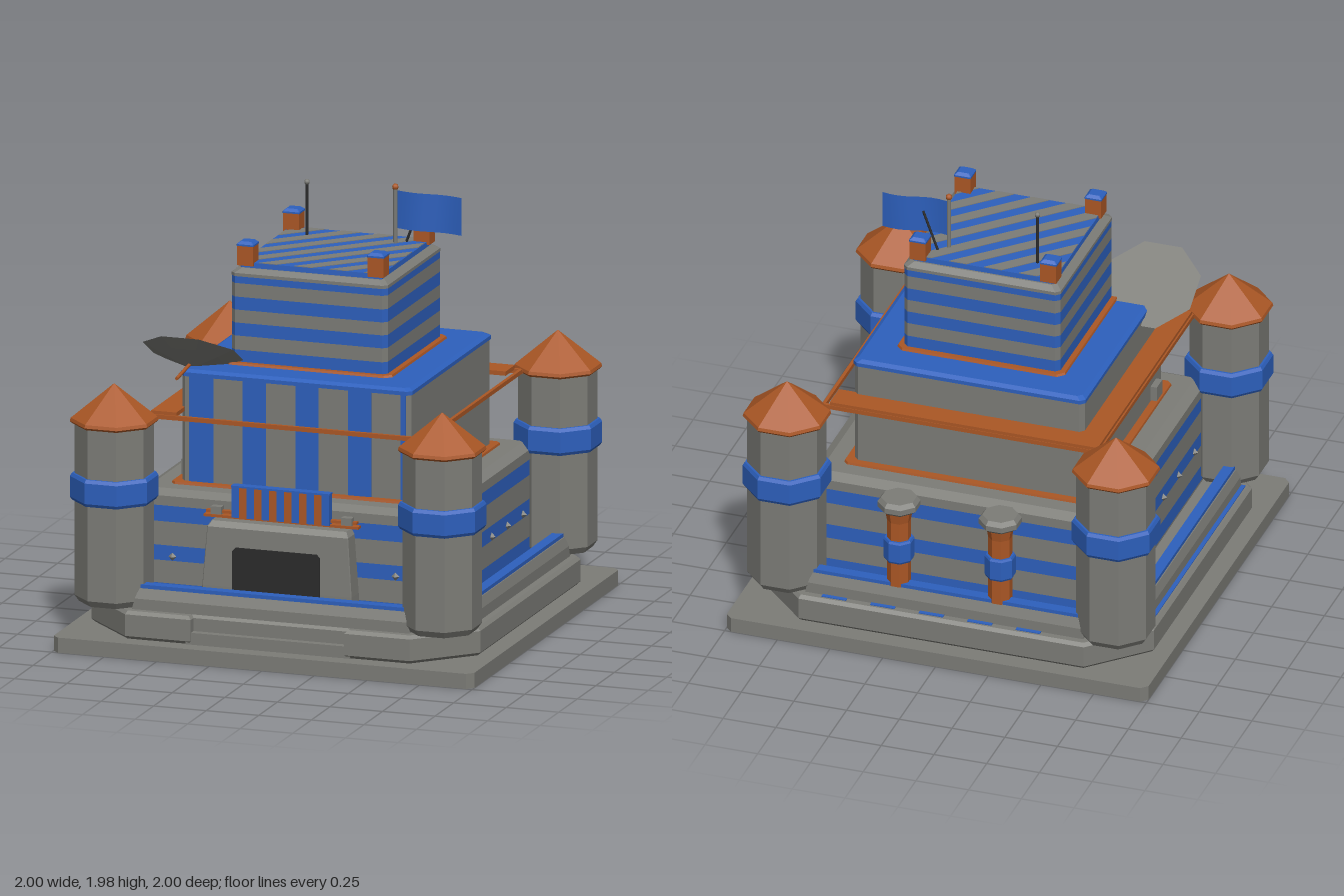
import * as THREE from 'three';

const paint = (name, color) => {
  const m = new THREE.MeshStandardMaterial({ color });
  m.name = name;
  return m;
};

export function createModel() {
  const root = new THREE.Group();
  root.name = 'fortress';
  const stone = paint('stone grey', 0x7c7c77);
  const blue = paint('blue', 0x2d60bd);
  const copper = paint('copper brown', 0xab5725);
  const dark = paint('dark', 0x2a2a2a);
  const flag = paint('flag blue', 0x2d60bd);
  flag.side = THREE.DoubleSide;

  const add = (name, geo, mat, x = 0, y = 0, z = 0, parent = root) => {
    const m = new THREE.Mesh(geo, mat);
    m.name = name;
    m.position.set(x, y, z);
    parent.add(m);
    return m;
  };
  // Box given by its limits
  const box = (name, mat, x0, x1, y0, y1, z0, z1, parent) =>
    add(name, new THREE.BoxGeometry(x1 - x0, y1 - y0, z1 - z0), mat,
      (x0 + x1) / 2, (y0 + y1) / 2, (z0 + z1) / 2, parent);

  // Loft through chamfered rectangles: [y, halfWidth, halfDepth, chamfer]
  const loft = (rings) => {
    const pos = [];
    const loops = rings.map(([y, w, d, c]) => [
      [w, y, c - d], [w, y, d - c], [w - c, y, d], [c - w, y, d],
      [-w, y, d - c], [-w, y, c - d], [c - w, y, -d], [w - c, y, -d]]);
    const tri = (...p) => p.forEach((q) => pos.push(...q));
    for (let i = 0; i < 8; i++) {
      const j = (i + 1) % 8;
      for (let r = 0; r + 1 < loops.length; r++) {
        const [a, b, c, d] = [loops[r][i], loops[r][j], loops[r + 1][j], loops[r + 1][i]];
        tri(a, d, c);
        tri(a, c, b);
      }
      const lo = loops[0], hi = loops[loops.length - 1];
      tri([0, lo[0][1], 0], lo[i], lo[j]);
      tri([0, hi[0][1], 0], hi[j], hi[i]);
    }
    const g = new THREE.BufferGeometry();
    g.setAttribute('position', new THREE.Float32BufferAttribute(pos, 3));
    g.computeVertexNormals();
    return g;
  };
  // Octagonal loft: [y, apothem]
  const octagon = (rings) => loft(rings.map(([y, r]) => [y, r, r, r * 0.586]));
  const square = (y, h, c = 0.02) => [y, h, h, c];
  // Flat outline in x,z turned into a horizontal slab
  const slab = (pts, opts) => new THREE.ExtrudeGeometry(
    new THREE.Shape(pts.map(([x, z]) => new THREE.Vector2(x, -z))), opts).rotateX(-Math.PI / 2);
  const rod = (name, mat, a, b, r) => {
    const p = new THREE.Vector3(...a), q = new THREE.Vector3(...b);
    const m = add(name, new THREE.CylinderGeometry(r, r, p.distanceTo(q), 8), mat);
    m.position.copy(p).lerp(q, 0.5);
    m.quaternion.setFromUnitVectors(new THREE.Vector3(0, 1, 0), q.sub(p).normalize());
  };

  // Ground slab and footing with a notch for the front step
  add('groundSlab', loft([square(0, 1, 0.03), square(0.07, 1, 0.03)]), stone);
  add('footing', slab([
    [-0.38, 0.91], [-0.38, 0.87], [0.38, 0.87], [0.38, 0.91], [0.67, 0.91], [0.91, 0.67],
    [0.91, -0.67], [0.67, -0.91], [-0.67, -0.91], [-0.91, -0.67], [-0.91, 0.67], [-0.67, 0.91],
  ], { depth: 0.1, bevelSize: 0.015, bevelThickness: 0.015, bevelSegments: 1 }), stone, 0, 0.085, 0);
  box('frontStep', stone, -0.39, 0.39, 0.07, 0.125, 0.85, 0.92);

  // Striped walkway around the hall
  for (let k = -2; k <= 2; k++) {
    const x = k * 0.23;
    box('walkwayStripe', blue, x, x + 0.115, 0.198, 0.204, -0.9, -0.68);
    box('walkwayStripe', blue, x, x + 0.115, 0.198, 0.204, 0.68, 0.87);
  }
  box('walkwayStripe', blue, -0.9, -0.805, 0.198, 0.204, -0.66, 0.66);
  box('walkwayStripe', blue, 0.69, 0.805, 0.198, 0.204, -0.66, 0.66);

  // Parapets with blue coping
  for (let i = 0; i < 4; i++) {
    const side = new THREE.Group();
    side.name = 'parapet';
    side.rotation.y = (i * Math.PI) / 2;
    add('parapetWall', loft([[0.2, 0.66, 0.045, 0.001], [0.25, 0.65, 0.045, 0.001],
      [0.295, 0.63, 0.03, 0.001]]), stone, 0, 0, 0.835, side);
    box('parapetCoping', blue, -0.63, 0.63, 0.29, 0.312, 0.81, 0.86, side);
    root.add(side);
  }

  // Hall with horizontal bands and a bevelled cap
  const hall = [0.2, 0.21, 0.285, 0.39, 0.46, 0.57, 0.645];
  for (let i = 0; i + 1 < hall.length; i++)
    add('hallBand', loft([square(hall[i], 0.7), square(hall[i + 1], 0.7)]), i % 2 ? blue : stone);
  add('hallCap', loft([square(0.645, 0.705), square(0.69, 0.705), square(0.715, 0.66)]), stone);

  // Wall studs
  const stud = new THREE.OctahedronGeometry(0.019);
  for (const s of [-1, 1]) {
    for (const z of [-0.53, -0.32, -0.11, 0.1, 0.31, 0.53]) add('wallStud', stud, stone, s * 0.702, 0.41, z);
    add('wallStud', stud, stone, s * 0.53, 0.41, 0.702);
  }

  // Corner towers
  for (const x of [-0.78, 0.78]) for (const z of [-0.78, 0.78]) {
    const t = new THREE.Group();
    t.name = 'cornerTower';
    t.position.set(x, 0, z);
    add('towerShaft', octagon([[0.205, 0.145], [0.235, 0.165], [1.04, 0.165]]), stone, 0, 0, 0, t);
    add('towerBand', octagon([[0.675, 0.175], [0.69, 0.184], [0.785, 0.184], [0.8, 0.175]]), blue, 0, 0, 0, t);
    add('towerRoof', octagon([[1.03, 0.175], [1.04, 0.184], [1.055, 0.18], [1.21, 0.002]]), copper, 0, 0, 0, t);
    root.add(t);
  }

  // Rails between towers and the L-shaped gallery
  for (const s of [-1, 1]) {
    box('towerRail', copper, -0.66, 0.66, 1.03, 1.05, s * 0.65 - 0.008, s * 0.65 + 0.008);
    box('towerRail', copper, s * 0.65 - 0.008, s * 0.65 + 0.008, 1.03, 1.05, -0.66, 0.66);
  }
  box('backGallery', copper, -0.65, 0.62, 1.045, 1.065, -0.655, -0.53);
  box('sideGallery', copper, -0.65, -0.53, 1.045, 1.065, -0.53, 0.65);

  // Gatehouse
  add('gatehouse', loft([[0.2, 0.36, 0.08, 0.004], [0.32, 0.355, 0.08, 0.004],
    [0.59, 0.335, 0.07, 0.004], [0.615, 0.32, 0.05, 0.004]]), stone, 0, 0, 0.72);
  const door = new THREE.Shape([[-0.21, 0.2], [0.205, 0.2], [0.205, 0.49], [0.19, 0.505], [-0.195, 0.505],
    [-0.21, 0.49]].map((p) => new THREE.Vector2(...p)));
  add('door', new THREE.ExtrudeGeometry(door, { depth: 0.008, bevelEnabled: false }), dark, 0, 0, 0.797);
  box('signBeam', copper, -0.37, 0.365, 0.62, 0.632, 0.69, 0.735);
  box('signBeam', copper, -0.36, 0.355, 0.64, 0.652, 0.7, 0.73);
  for (const x of [-0.31, 0.31]) box('beamBracket', stone, x - 0.025, x + 0.025, 0.635, 0.67, 0.69, 0.74);
  for (let i = 0; i < 13; i++) {
    const x = -0.235 + i * 0.0358;
    box('signStripe', i % 2 ? copper : blue, x, x + 0.0358, 0.628, 0.77, 0.705, 0.745);
  }
  box('signTop', blue, -0.237, 0.232, 0.768, 0.776, 0.703, 0.747);

  // Middle tier with vertical front stripes
  add('middleTierTrim', loft([square(0.705, 0.585), square(0.725, 0.58)]), copper);
  add('middleTier', loft([square(0.715, 0.545), square(1.215, 0.545)]), stone);
  add('middleTierRoof', loft([square(1.21, 0.55), square(1.228, 0.55), square(1.24, 0.53)]), blue);
  for (const [a, b] of [[-0.505, -0.39], [-0.25, -0.14], [0, 0.11], [0.25, 0.36], [0.5, 0.525]])
    box('frontStripe', blue, a, b, 0.725, 1.212, 0.543, 0.549);
  box('wallBox', stone, -0.575, -0.54, 0.73, 0.8, 0.38, 0.46);

  // Upper tier with horizontal bands
  add('upperTierTrim', loft([square(1.235, 0.4, 0.03), square(1.25, 0.395, 0.03)]), copper);
  const upper = [1.24, 1.305, 1.37, 1.43, 1.49, 1.55, 1.613, 1.645];
  for (let i = 0; i + 1 < upper.length; i++)
    add('upperBand', loft([square(upper[i], 0.37), square(upper[i + 1], 0.37)]), i % 2 ? stone : blue);
  add('upperCap', loft([square(1.645, 0.372), square(1.66, 0.372), square(1.68, 0.345)]), stone);
  add('upperRoof', loft([square(1.675, 0.337, 0.005), square(1.703, 0.335, 0.005)]), blue);

  // Diagonal roof stripes, clipped to the square roof
  const h = 0.333, step = 0.1665;
  const ends = (c) => (c <= 0 ? [[-h, c + h], [c + h, -h]] : [[c - h, h], [h, c - h]]);
  for (let c = -2 * h + step / 2; c < 2 * h - 0.01; c += step) {
    const c1 = Math.min(c + step / 2, 2 * h - 0.001);
    const [a, b] = ends(c), [d, e] = ends(c1);
    const cross = c < -0.001 && c1 > 0.001;
    add('roofStripe', slab([a, ...(cross ? [[-h, h]] : []), d, e, ...(cross ? [[h, -h]] : []), b],
      { depth: 0.004, bevelEnabled: false }), stone, 0, 1.702, 0);
  }

  // Roof corner posts
  for (const x of [-0.31, 0.31]) for (const z of [-0.31, 0.31]) {
    box('cornerPost', copper, x - 0.038, x + 0.038, 1.69, 1.782, z - 0.038, z + 0.038);
    add('postCap', loft([[1.78, 0.04, 0.04, 0.003], [1.788, 0.04, 0.04, 0.003],
      [1.8, 0.026, 0.026, 0.003]]), blue, x, 0, z);
  }

  // Antenna, leaning rod and flag
  rod('antenna', dark, [-0.213, 1.7, -0.213], [-0.213, 1.95, -0.213], 0.008);
  add('antennaTip', new THREE.SphereGeometry(0.013, 8, 6), stone, -0.213, 1.95, -0.213);
  rod('leaningRod', dark, [0.245, 1.7, -0.252], [0.315, 1.89, -0.252], 0.006);
  rod('flagPole', stone, [0.207, 1.7, -0.213], [0.207, 1.96, -0.213], 0.01);
  add('flagPoleTip', new THREE.SphereGeometry(0.015, 8, 6), copper, 0.207, 1.963, -0.213);
  const cloth = new THREE.PlaneGeometry(0.305, 0.175, 8, 1);
  const p = cloth.attributes.position;
  for (let i = 0; i < p.count; i++) {
    const u = p.getX(i) / 0.305 + 0.5;
    p.setZ(i, 0.011 * Math.sin(u * 6.3));
    p.setY(i, p.getY(i) - 0.01 * u);
  }
  cloth.computeVertexNormals();
  add('flag', cloth, flag, 0.366, 1.858, -0.222);

  // Tilted dish with a faceted underside
  const dish = add('dish', octagon([[-0.07, 0.025], [-0.03, 0.14], [0, 0.215]]), stone, -0.525, 1.295, 0.432);
  dish.rotation.x = -0.53;
  rod('dishArm', copper, [-0.525, 1.25, 0.47], [-0.525, 1.225, 0.66], 0.008);

  // Rear chimneys
  for (const x of [-0.243, 0.237]) {
    const c = new THREE.Group();
    c.name = 'chimney';
    c.position.set(x, 0, -0.815);
    add('chimneyShaft', octagon([[0.2, 0.062], [0.24, 0.05], [0.62, 0.05], [0.68, 0.06]]), copper, 0, 0, 0, c);
    add('chimneyBand', octagon([[0.42, 0.06], [0.43, 0.065], [0.52, 0.065], [0.53, 0.06]]), blue, 0, 0, 0, c);
    add('chimneyCap', octagon([[0.67, 0.065], [0.69, 0.09], [0.715, 0.09], [0.735, 0.075]]), stone, 0, 0, 0, c);
    root.add(c);
  }
  return root;
}
